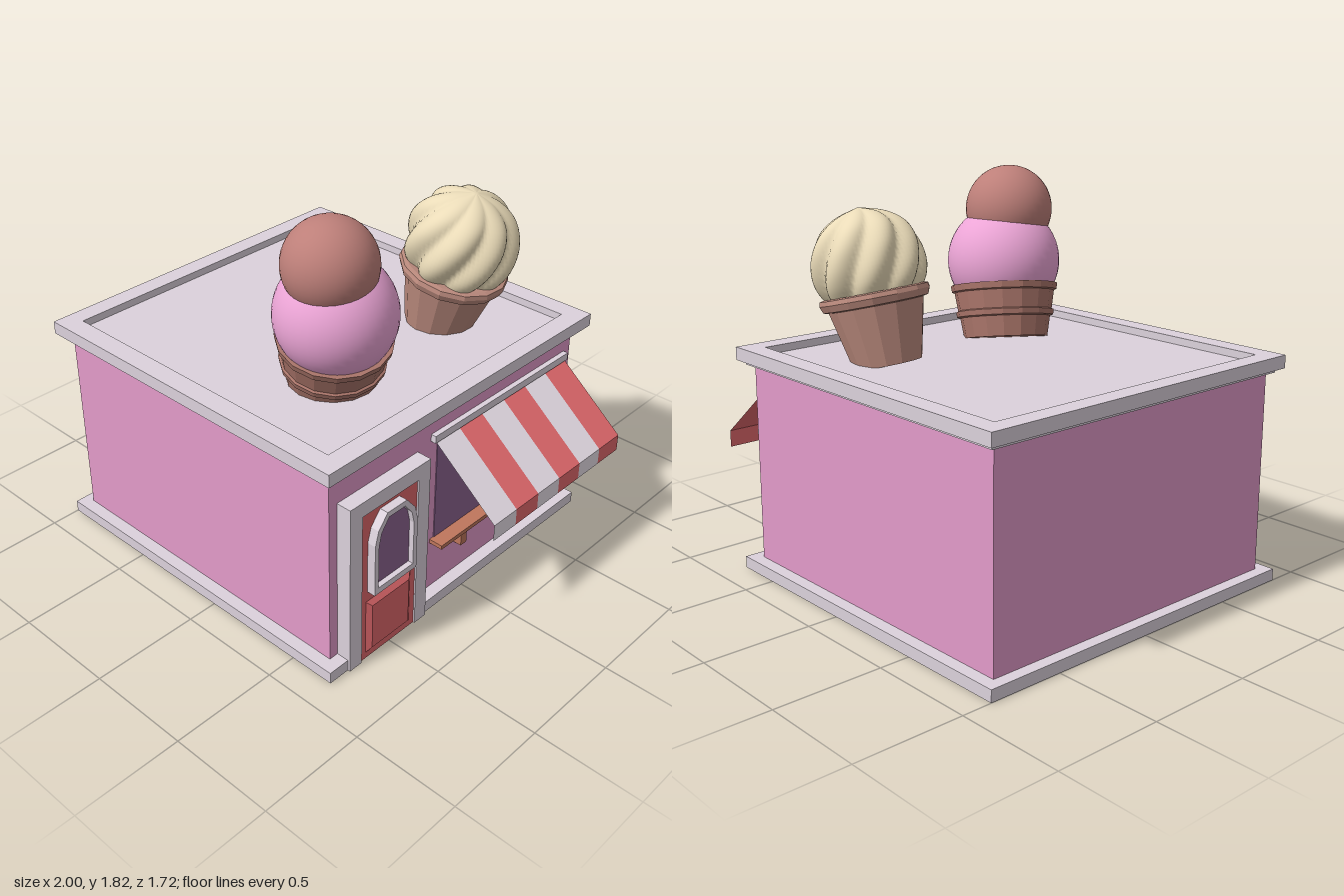
import * as THREE from 'three';
import { mergeVertices } from 'three/addons/utils/BufferGeometryUtils.js';

const mat = (color, extra = {}) => new THREE.MeshStandardMaterial({ color, ...extra });
const M = {
  wall: mat(0xe39bca), trim: mat(0xdcd2dc), red: mat(0xe0686c), glass: mat(0x8d6491), wood: mat(0xbf765c),
  white: mat(0xe9dfe9, { side: THREE.DoubleSide }), stripe: mat(0xe46a6e, { side: THREE.DoubleSide }),
  wafer: mat(0xa87469, { flatShading: true, side: THREE.DoubleSide }),
  paleWafer: mat(0xbc8b7e, { flatShading: true, side: THREE.DoubleSide }),
  chocolate: mat(0xbd7f79), strawberry: mat(0xeca5d6), cream: mat(0xeadbb8),
};

export function createModel() {
  const root = new THREE.Group();

  const add = (name, geometry, material, parent = root) => {
    const mesh = new THREE.Mesh(geometry, material);
    mesh.name = name;
    parent.add(mesh);
    return mesh;
  };
  // Box given by its extents on each axis
  const box = (name, [x0, x1], [y0, y1], [z0, z1], material, parent) => {
    const mesh = add(name, new THREE.BoxGeometry(x1 - x0, y1 - y0, z1 - z0), material, parent);
    mesh.position.set((x0 + x1) / 2, (y0 + y1) / 2, (z0 + z1) / 2);
    return mesh;
  };
  const group = (name, x = 0, y = 0, z = 0) => {
    const g = new THREE.Group();
    g.name = name;
    g.position.set(x, y, z);
    root.add(g);
    return g;
  };
  const polygon = (points) => points.map(([x, y]) => new THREE.Vector2(x, y));
  const rect = (x0, x1, y0, y1) => polygon([[x0, y0], [x1, y0], [x1, y1], [x0, y1]]);
  const extrude = (outer, hole, depth) => {
    const shape = new THREE.Shape(outer);
    if (hole) shape.holes.push(new THREE.Path(hole));
    return new THREE.ExtrudeGeometry(shape, { depth, bevelEnabled: false });
  };

  // Building shell
  box('base', [-1, 0.72], [0, 0.055], [-0.86, 0.86], M.trim);
  box('walls', [-0.945, 0.66], [0.055, 0.98], [-0.8, 0.8], M.wall);
  box('cornice', [-0.97, 0.69], [0.98, 1.0], [-0.83, 0.83], M.trim);
  box('roofDeck', [-0.95, 0.67], [1.0, 1.025], [-0.8, 0.8], M.trim);
  const rim = extrude(rect(-1, 0.72, -0.86, 0.86), rect(-0.91, 0.625, -0.765, 0.765), 0.06);
  add('roofRim', rim.rotateX(-Math.PI / 2), M.trim).position.y = 1.0;

  // Door on the +x wall; local geometry is centred on the door
  const door = group('door', 0, 0, 0.512);
  const frame = extrude(
    polygon([[-0.242, 0], [-0.17, 0], [-0.17, 0.77], [0.17, 0.77], [0.17, 0], [0.242, 0], [0.242, 0.84], [-0.242, 0.84]]),
    null, 0.08);
  add('doorFrame', frame.rotateY(Math.PI / 2), M.trim, door).position.x = 0.652;
  box('doorLeaf', [0.65, 0.724], [0, 0.77], [-0.17, 0.17], M.red, door);

  // Raised door panel with sloped edges: a four-sided frustum
  const panel = new THREE.CylinderGeometry(0.41 / Math.SQRT2, 0.5 / Math.SQRT2, 1, 4, 1).toNonIndexed();
  panel.rotateY(Math.PI / 4).rotateZ(-Math.PI / 2).scale(0.018, 0.56, 0.56);
  panel.computeVertexNormals();
  add('doorPanel', panel, M.red, door).position.set(0.732, 0.17, 0);

  // Arched door window
  const arch = (w, y0, y1, ys) => polygon([
    [-w, y0], [w, y0], [w, ys], [w * 0.86, ys + (y1 - ys) * 0.52], [w * 0.45, y1],
    [-w * 0.45, y1], [-w * 0.86, ys + (y1 - ys) * 0.52], [-w, ys]]);
  const inner = arch(0.107, 0.39, 0.722, 0.605);
  add('doorWindowFrame', extrude(arch(0.13, 0.36, 0.748, 0.615), inner, 0.055).rotateY(Math.PI / 2), M.trim, door)
    .position.x = 0.71;
  add('doorWindowPane', extrude(inner, null, 0.025).rotateY(Math.PI / 2), M.glass, door).position.x = 0.715;

  // Serving window, counter and brackets
  box('servingWindow', [0.64, 0.664], [0.325, 0.85], [-0.72, 0.145], M.glass);
  box('counter', [0.65, 0.73], [0.305, 0.325], [-0.73, 0.17], M.wood);
  for (const z of [-0.025, -0.295, -0.565]) {
    box('counterBracket', [0.65, 0.7], [0.21, 0.305], [z - 0.02, z + 0.02], M.wood);
  }

  // Striped awning: thin sloped sheet with a hanging valance
  const awning = group('awning');
  box('awningRail', [0.65, 0.685], [0.85, 0.885], [-0.755, 0.185], M.trim, awning);
  const width = 0.9175 / 6;
  const slope = Math.hypot(0.33, 0.27);
  for (let i = 0; i < 6; i++) {
    const z = 0.17 - (i + 0.5) * width;
    const material = i % 2 ? M.stripe : M.white;
    const top = new THREE.PlaneGeometry(width, slope).rotateX(-Math.atan2(0.33, 0.27)).rotateY(Math.PI / 2);
    add('awningStripe', top, material, awning).position.set(0.835, 0.715, z);
    const flap = new THREE.PlaneGeometry(width, 0.08).rotateY(Math.PI / 2);
    add('awningValance', flap, material, awning).position.set(1.0, 0.54, z);
  }

  // Two-scoop cone, leaning; the wafer's origin is the centre of its rim
  const scoopCone = group('scoopCone');
  const wafer = add('waferCup', new THREE.LatheGeometry(polygon([
    [0, -0.25], [0.197, -0.25], [0.213, -0.155], [0.228, -0.15], [0.232, -0.125], [0.222, -0.12],
    [0.236, -0.035], [0.248, -0.03], [0.253, 0], [0, 0]]), 16), M.wafer, scoopCone);
  wafer.position.set(0.247, 1.26, 0.33);
  wafer.rotation.set(0.15, 0, -0.22);
  add('lowerScoop', new THREE.SphereGeometry(0.264, 40, 28), M.strawberry, scoopCone).position.set(0.267, 1.375, 0.345);
  add('upperScoop', new THREE.SphereGeometry(0.203, 36, 24), M.chocolate, scoopCone).position.set(0.275, 1.615, 0.385);

  // Soft-serve cone, leaning towards +x
  const softCone = group('softServeCone', 0.262, 1.3, -0.42);
  softCone.rotation.set(-0.04, 0, -0.24);
  add('softServeCup', new THREE.LatheGeometry(polygon([
    [0, -0.3], [0.155, -0.3], [0.215, -0.035], [0.238, -0.03], [0.25, 0], [0.245, 0.02], [0.225, 0.025], [0, 0.01]]), 14),
    M.paleWafer, softCone);

  // Swirl: a lathe pushed in and out into twisting lobes
  const outline = new THREE.SplineCurve(polygon([
    [0.19, -0.01], [0.227, 0.06], [0.24, 0.14], [0.226, 0.23], [0.18, 0.31], [0.1, 0.365], [0, 0.395]]));
  const swirl = new THREE.LatheGeometry(outline.getPoints(30), 96);
  const p = swirl.attributes.position;
  for (let i = 0; i < p.count; i++) {
    const x = p.getX(i), y = p.getY(i), z = p.getZ(i);
    const lobe = Math.abs(Math.cos(4 * (Math.atan2(x, z) - 2.2 * y)));
    const k = 0.9 + 0.17 * lobe;
    p.setXYZ(i, x * k, y, z * k);
  }
  swirl.deleteAttribute('uv');
  swirl.deleteAttribute('normal');
  const smooth = mergeVertices(swirl, 1e-5);
  smooth.computeVertexNormals();
  add('softServeSwirl', smooth, M.cream, softCone);

  return root;
}
